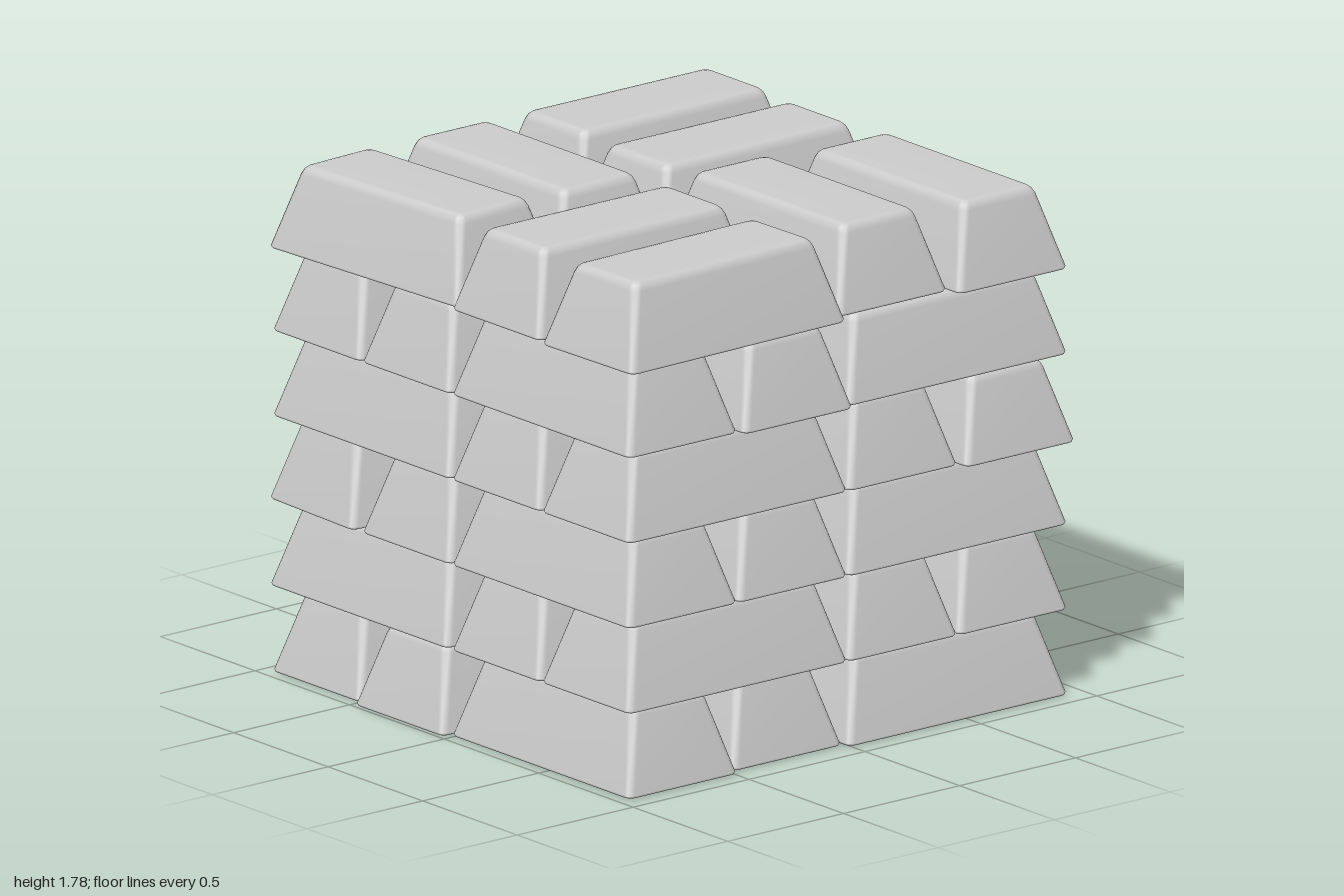
import * as THREE from 'three';

const LENGTH = 0.945, WIDTH = 0.47, HEIGHT = 0.293, PITCH = 0.298, CELL = 0.475;

// One tapered ingot: rounded-rectangle rings stacked upwards, capped at both ends.
function ingotGeometry() {
  // [height, inset from the base outline, corner radius]
  const rings = [
    [0, 0.014, 0.02], [0.004, 0.004, 0.024], [0.012, 0, 0.026],
    [0.262, 0.07, 0.03], [0.28, 0.079, 0.028], [0.29, 0.091, 0.022], [HEIGHT, 0.106, 0.014],
  ];
  const steps = 3, count = 4 * (steps + 1);
  const pos = [], index = [];
  for (const [y, inset, r] of rings) {
    const hx = LENGTH / 2 - inset - r, hz = WIDTH / 2 - inset - r;
    for (let c = 0; c < 4; c++) {
      const sx = c === 0 || c === 3 ? 1 : -1, sz = c < 2 ? 1 : -1;
      for (let s = 0; s <= steps; s++) {
        const a = (c + s / steps) * Math.PI / 2;
        pos.push(sx * hx + r * Math.cos(a), y, sz * hz + r * Math.sin(a));
      }
    }
  }
  const bottom = pos.length / 3, top = bottom + 1, last = (rings.length - 1) * count;
  pos.push(0, 0, 0, 0, HEIGHT, 0);
  for (let j = 0; j < count; j++) {
    const k = (j + 1) % count;
    for (let i = 0; i < last; i += count) {
      index.push(i + j, i + count + j, i + k, i + k, i + count + j, i + count + k);
    }
    index.push(bottom, j, k, top, last + k, last + j);
  }
  const geo = new THREE.BufferGeometry();
  geo.setAttribute('position', new THREE.Float32BufferAttribute(pos, 3));
  geo.setIndex(index);
  geo.computeVertexNormals(); // area weighting keeps the big faces flat
  return geo;
}

// Bars laid slightly out of line: [dx, dz, turn]
const nudges = {
  '1 front left inner': [0, 0.03, 0],
  '1 front right inner': [-0.03, 0, 0],
  '2 front left outer': [-0.015, 0, 0],
  '2 back left inner': [0, -0.03, 0],
  '3 front left outer': [-0.01, 0, -0.04],
  '3 back right inner': [0, -0.06, 0],
  '4 back left outer': [-0.01, -0.05, 0.03],
  '4 back right outer': [0.04, 0, 0],
  '5 front right inner': [0.03, 0, 0],
  '5 back right inner': [0, 0.02, 0],
  '6 back left inner': [0, 0.03, 0],
  '6 back right inner': [-0.055, 0, 0],
  '6 front left outer': [0, 0, 0.055],
  '6 front right outer': [0.012, 0.012, 0.025],
};

export function createModel() {
  const model = new THREE.Group();
  model.name = 'ingotStack';
  const geo = ingotGeometry();
  const mat = new THREE.MeshStandardMaterial({ color: 0xcccccc });

  // Six layers of four pairs; neighbouring pairs and layers alternate direction
  for (let layer = 1; layer <= 6; layer++) {
    const group = new THREE.Group();
    group.name = `layer ${layer}`;
    group.position.set(-0.01, (layer - 1) * PITCH, 0.018);
    for (const sx of [-1, 1]) for (const sz of [-1, 1]) {
      const alongX = (sx * sz < 0) === (layer % 2 === 0);
      for (const place of ['inner', 'outer']) {
        const key = `${layer} ${sz > 0 ? 'front' : 'back'} ${sx < 0 ? 'left' : 'right'} ${place}`;
        const [dx, dz, turn] = nudges[key] || [0, 0, 0];
        const across = CELL * (place === 'inner' ? 0.5 : 1.5);
        const bar = new THREE.Mesh(geo, mat);
        // names use the model's own left (+x)
        bar.name = `ingot ${sz > 0 ? 'front' : 'back'} ${sx > 0 ? 'left' : 'right'} ${place}`;
        bar.position.set(sx * (alongX ? CELL : across) + dx, 0, sz * (alongX ? across : CELL) + dz);
        bar.rotation.y = (alongX ? 0 : Math.PI / 2) + turn;
        group.add(bar);
      }
    }
    model.add(group);
  }
  return model;
}
